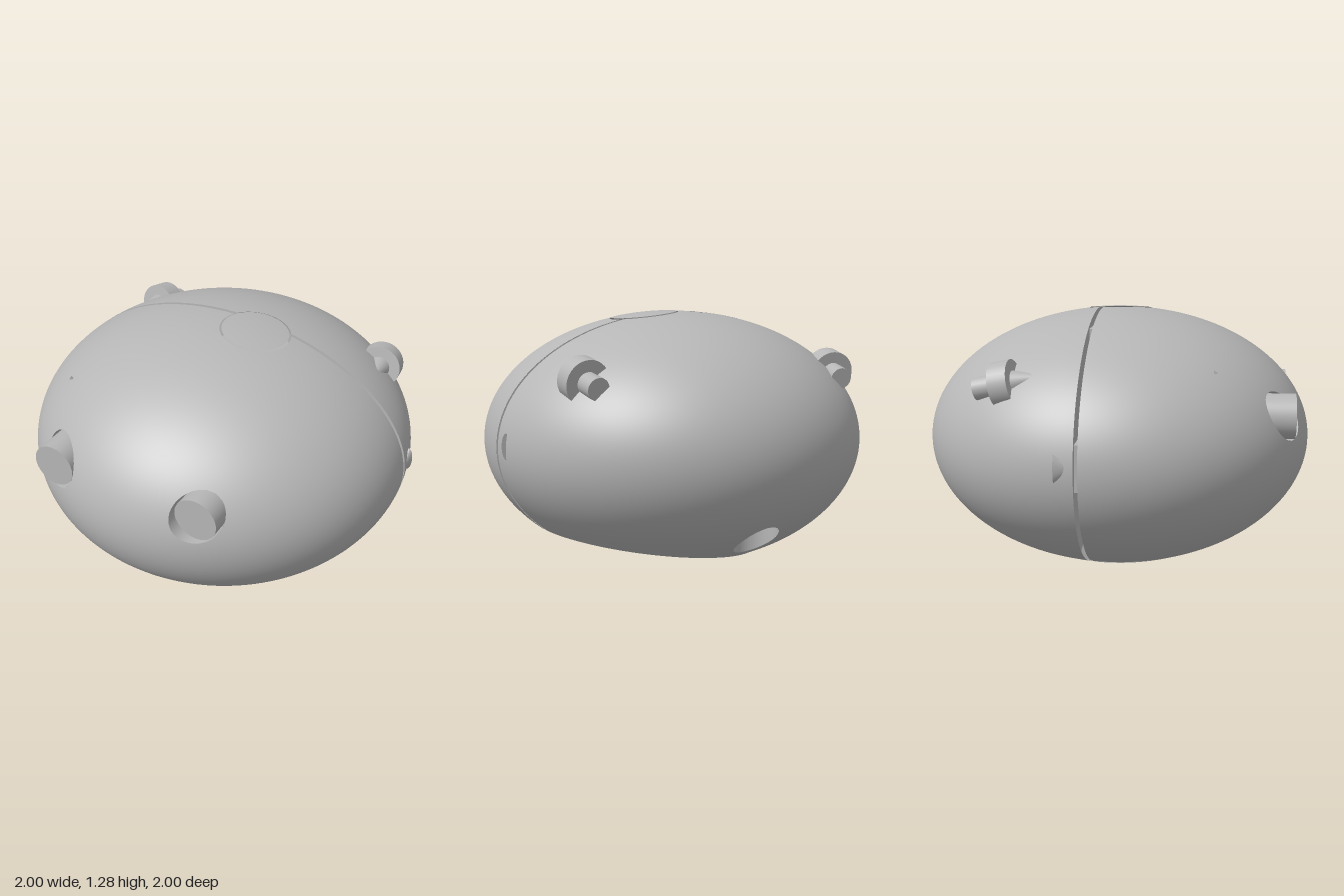
import * as THREE from 'three';

const CY = 0.61, B = 0.665;            // shell centre height and half height
const SLOPE = 0.15, CUT = 0.064;       // slanted base plane
const shellGrey = new THREE.MeshStandardMaterial({ color: 0xb6b6b6, side: THREE.DoubleSide });
shellGrey.name = 'shellGrey';

// Keeps the part of a geometry where f(point) >= 0
function clip(geometry, f) {
  const g = geometry.index ? geometry.toNonIndexed() : geometry;
  const p = g.attributes.position, n = g.attributes.normal;
  const P = [], N = [];
  for (let i = 0; i < p.count; i += 3) {
    const tri = [0, 1, 2].map(k => {
      const v = new THREE.Vector3().fromBufferAttribute(p, i + k);
      return { v, n: new THREE.Vector3().fromBufferAttribute(n, i + k), d: f(v) };
    });
    const poly = [];
    tri.forEach((a, k) => {
      const b = tri[(k + 1) % 3];
      if (a.d >= 0) poly.push(a);
      if ((a.d >= 0) !== (b.d >= 0)) {
        const t = a.d / (a.d - b.d);
        poly.push({ v: a.v.clone().lerp(b.v, t), n: a.n.clone().lerp(b.n, t).normalize() });
      }
    });
    for (let k = 1; k + 1 < poly.length; k++) {
      for (const c of [poly[0], poly[k], poly[k + 1]]) { P.push(...c.v); N.push(...c.n); }
    }
  }
  const out = new THREE.BufferGeometry();
  out.setAttribute('position', new THREE.Float32BufferAttribute(P, 3));
  out.setAttribute('normal', new THREE.Float32BufferAttribute(N, 3));
  return out;
}

const frontOf = v => v.z + 0.09;
const backOf = v => -0.11 - v.z;
const abovePlane = v => v.y - CUT - SLOPE * v.x;
const insideShell = v => 1 - v.x * v.x - v.z * v.z - ((v.y - CY) / B) ** 2;
const capDist = v => (v.y > CY ? Math.hypot(v.x - 0.17, v.z + 0.015) : 9);
const eyes = [[-0.44, 0.79], [0.36, 0.79]];
const port = [-0.1, -0.74];

function ellipsoid() {
  return new THREE.SphereGeometry(1, 160, 100).scale(1, B, 1).translate(0, CY, 0);
}

export function createModel() {
  const root = new THREE.Group();
  const add = (name, geometry, parent = root) => {
    const m = new THREE.Mesh(geometry, shellGrey);
    m.name = name;
    parent.add(m);
    return m;
  };

  // Shell: base plane, cap ring, eye holes and rear port cut away
  let shell = clip(ellipsoid(), abovePlane);
  shell = clip(shell, v => capDist(v) - 0.18);
  for (const [x, y] of eyes) shell = clip(shell, v => (v.z > 0 ? Math.hypot(v.x - x, v.y - y) - 0.12 : 1));
  shell = clip(shell, v => (v.y < CY ? Math.hypot(v.x - port[0], v.z - port[1]) - 0.11 : 1));
  add('frontShell', clip(shell, frontOf));
  add('backShell', clip(shell, backOf));

  // Flat walls on both sides of the split
  const r = Math.sqrt(1 - 0.01), pts = [];
  for (let i = 0; i < 96; i++) {
    const a = i / 96 * Math.PI * 2, x = r * Math.cos(a);
    pts.push(new THREE.Vector2(x, Math.max(CY + B * r * Math.sin(a), Math.min(CUT + SLOPE * x + 0.223, CY))));
  }
  for (const z of [-0.09, -0.11]) {
    add('splitWall', new THREE.ShapeGeometry(new THREE.Shape(pts)).translate(0, 0, z));
  }
  // Spacers between the halves
  for (const [x0, x1, y0, y1] of [[-0.4, 0, 0.92, 1.2], [0.35, 0.95, 0.52, 0.74], [-0.95, -0.76, 0.52, 0.74]]) {
    add('spacer', new THREE.BoxGeometry(x1 - x0, y1 - y0, 0.02)
      .translate((x0 + x1) / 2, (y0 + y1) / 2, -0.1));
  }

  // Top cap and the plug below it
  add('topCap', clip(ellipsoid().translate(0, 0.003, 0), v => 0.17 - capDist(v)));
  add('capPlug', new THREE.CylinderGeometry(0.168, 0.168, 0.78, 48).translate(0.17, 0.81, -0.015));

  // Eyes: flat-faced cylinders in round sockets
  for (const [x, y] of eyes) {
    add('eye', new THREE.CylinderGeometry(0.11, 0.11, 0.3, 48).rotateX(Math.PI / 2).translate(x, y, 0.75));
    const socket = new THREE.CylinderGeometry(0.12, 0.12, 0.4, 48, 24, true)
      .rotateX(Math.PI / 2).translate(x, y, 0.8);
    add('eyeSocket', clip(socket, insideShell));
  }

  // Upright bore in the lower back
  const bore = new THREE.CylinderGeometry(0.11, 0.11, 0.5, 48, 30, true).translate(port[0], 0.25, port[1]);
  add('rearBore', clip(bore, insideShell));
  add('rearBoreEnd', new THREE.CircleGeometry(0.11, 48).rotateX(Math.PI / 2).translate(port[0], 0.5, port[1]));

  // Recess under the slanted base
  const base = new THREE.Group();
  base.name = 'baseRecess';
  base.position.set(0.17, 0.0895, 0);
  base.rotation.z = Math.atan(SLOPE);
  root.add(base);
  const depth = 0.22;
  const wall = new THREE.CylinderGeometry(0.597, 0.597, depth, 72, 1, true).translate(0, depth / 2, 0);
  add('recessWall', clip(wall, frontOf), base);
  add('recessWall', clip(wall, backOf), base);
  const holes = [[0, 0, 0.25, 0.13]];
  for (const s of [1, -1]) holes.push([0.27, 0.29 * s, 0.105, 0.1], [-0.31, 0.31 * s, 0.105, 0.1]);
  const disc = new THREE.Shape().absarc(0, 0, 0.597, 0, Math.PI * 2);
  for (const [x, z, rad, h] of holes) {
    disc.holes.push(new THREE.Path().absarc(x, z, rad, 0, Math.PI * 2, true));
    add('pocketWall', new THREE.CylinderGeometry(rad, rad, h, 40, 1, true).translate(x, depth + h / 2, z), base);
    add('pocketEnd', new THREE.CircleGeometry(rad, 40).rotateX(Math.PI / 2).translate(x, depth + h, z), base);
  }
  add('recessCeiling', new THREE.ShapeGeometry(disc, 48).rotateX(Math.PI / 2).translate(0, depth, 0), base);
  add('centrePost', new THREE.CylinderGeometry(0.1, 0.1, 0.12, 32).translate(0, depth + 0.08, 0), base);

  // Side fittings: collar, rear stub and tapered nose, sunk into the shell
  for (const s of [1, -1]) {
    const fit = new THREE.Group();
    fit.name = s > 0 ? 'leftFitting' : 'rightFitting';
    fit.position.set(0.68 * s, 0.965, -0.475);
    fit.lookAt(fit.position.clone().add(new THREE.Vector3(0.14 * s, 0.2, 1)));
    root.add(fit);
    const turn = g => g.rotateX(Math.PI / 2);
    add('collar', turn(new THREE.CylinderGeometry(0.112, 0.112, 0.095, 32)), fit);
    add('stub', turn(new THREE.CylinderGeometry(0.055, 0.055, 0.12, 24)).translate(0, 0, -0.09), fit);
    add('nose', turn(new THREE.CylinderGeometry(0.012, 0.06, 0.16, 24)).translate(0, 0, 0.12), fit);

    // Small pointed stud beside the split
    add('sideStud', new THREE.ConeGeometry(0.065, 0.09, 24).rotateX(Math.PI / 2)
      .scale(0.35, 1, 1).translate(0.977 * s, 0.635, -0.155));
  }

  // Tiny marker on the upper front
  add('marker', new THREE.ConeGeometry(0.014, 0.03, 3).rotateZ(-Math.PI / 2).translate(-0.59, 1.022, 0.51));

  return root;
}
